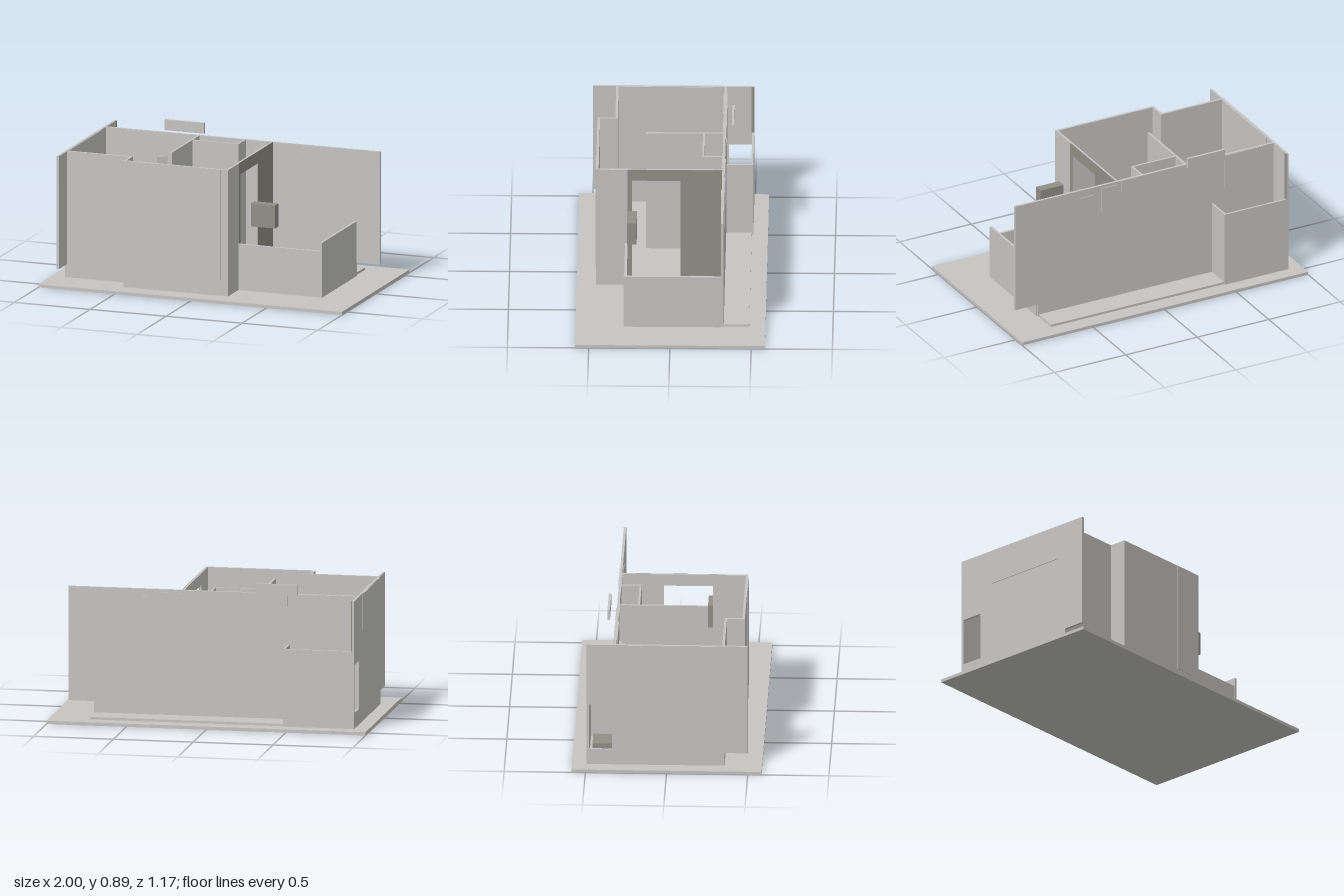
import * as THREE from 'three';

export function createModel() {
  const model = new THREE.Group();
  model.name = 'cutawayHouse';
  const paleGrey = new THREE.MeshStandardMaterial({ name: 'paleGrey', color: 0xc6c5c3 });
  const darkGrey = new THREE.MeshStandardMaterial({ name: 'darkGrey', color: 0x928f87 });

  // Box given by its extents on each axis
  function box(name, [x0, x1], [y0, y1], [z0, z1], material = paleGrey, parent = model) {
    const mesh = new THREE.Mesh(new THREE.BoxGeometry(x1 - x0, y1 - y0, z1 - z0), material);
    mesh.position.set((x0 + x1) / 2, (y0 + y1) / 2, (z0 + z1) / 2);
    mesh.name = name;
    parent.add(mesh);
    return mesh;
  }

  // Wall across x with a rectangular opening, made from an outline with a hole
  function wallWithOpening(name, [x0, x1], [y0, y1], [z0, z1], [hy0, hy1], [hz0, hz1], material = paleGrey) {
    const rect = (Type, a, b, c, d) => {
      const s = new Type();
      s.moveTo(-b, c);
      s.lineTo(-a, c);
      s.lineTo(-a, d);
      s.lineTo(-b, d);
      s.closePath();
      return s;
    };
    const shape = rect(THREE.Shape, z0, z1, y0, y1);
    shape.holes.push(rect(THREE.Path, hz0, hz1, hy0, hy1));
    const geometry = new THREE.ExtrudeGeometry(shape, { depth: x1 - x0, bevelEnabled: false });
    geometry.rotateY(Math.PI / 2);
    const mesh = new THREE.Mesh(geometry, material);
    mesh.position.x = x0;
    mesh.name = name;
    model.add(mesh);
  }

  const full = [0.02, 0.82];
  const raised = [0.105, 0.82];

  // Ground
  box('basePlate', [-1, 1], [0, 0.02], [-0.585, 0.585]);
  box('rearStep', [-0.465, 0.745], [0.02, 0.035], [-0.485, -0.328]);

  // Long rear wall, with its overhanging end
  box('rearWall', [-0.897, 0.75], full, [-0.328, -0.312]);
  box('rearWallEnd', [0.75, 0.91], raised, [-0.328, -0.312]);

  // Left side wall: rear room part, main part, overhanging front end
  box('sideWallUpper', [-0.912, -0.897], [0.505, 0.82], [-0.495, -0.328]);
  wallWithOpening('sideWallLower', [-0.912, -0.897], [0.02, 0.505], [-0.495, -0.328], [0.12, 0.42], [-0.48, -0.34]);
  box('sideWall', [-0.912, -0.897], full, [-0.328, 0.355]);
  box('sideWallEnd', [-0.912, -0.897], raised, [0.355, 0.497]);
  box('sideWallDarkStrip', [-0.897, -0.893], [0.505, 0.82], [-0.495, -0.477], darkGrey);

  // Stepped front wall
  box('frontWallLeft', [-0.897, -0.47], full, [0.34, 0.355]);
  box('frontWallReturn', [-0.485, -0.47], full, [0.355, 0.465]);
  box('frontWallRight', [-0.47, 0.203], full, [0.449, 0.465]);

  // Wall with the terrace doorway and its dark outer face
  box('terraceWallFront', [0.188, 0.203], full, [0.27, 0.449]);
  const doorY = [0.022, 0.745], doorZ = [-0.055, 0.245];
  wallWithOpening('terraceWall', [0.188, 0.2], full, [-0.312, 0.27], doorY, doorZ);
  wallWithOpening('terraceWallDarkFace', [0.2, 0.203], full, [-0.312, 0.27], doorY, doorZ, darkGrey);

  // Low rear room
  box('rearRoomBack', [-0.897, -0.465], [0.02, 0.505], [-0.495, -0.482]);
  box('rearRoomSide', [-0.478, -0.465], [0.02, 0.505], [-0.482, -0.328]);
  box('rearRoomBench', [-0.87, -0.72], [0.02, 0.14], [-0.46, -0.33], darkGrey);

  // Inner partitions
  box('partition', [-0.295, -0.28], full, [-0.312, 0.163]);
  box('closetFront', [-0.28, 0.025], full, [-0.2, -0.187]);
  box('closetSide', [0.012, 0.025], full, [-0.312, -0.2]);
  box('closetCabinet', [-0.278, 0.012], [0.02, 0.28], [-0.287, -0.2], darkGrey);
  box('counter', [-0.278, 0.012], [0.02, 0.27], [-0.187, -0.142], darkGrey);

  // Terrace
  box('terraceFrontWall', [0.203, 0.74], [0.02, 0.312], [0.27, 0.286]);
  box('terraceFrontWallInside', [0.13, 0.188], [0.02, 0.312], [0.27, 0.286]);
  box('terraceSideWall', [0.74, 0.755], [0.02, 0.367], [-0.312, 0.289]);
  box('wallCabinet', [0.28, 0.44], [0.427, 0.573], [0.212, 0.272], darkGrey);
  const bench = new THREE.Group();
  bench.name = 'terraceBench';
  model.add(bench);
  [-0.22, -0.183, -0.147].forEach((z) =>
    box('benchSlat', [0.28, 0.7], [0.105, 0.13], [z, z + 0.0365], darkGrey, bench));
  [0.3, 0.66].forEach((x) =>
    box('benchLeg', [x, x + 0.02], [0.02, 0.105], [-0.21, -0.12], darkGrey, bench));

  // Window panels, standing slightly proud of the walls on both sides
  const rearWindows = [
    [[0.365, 0.455], [0.55, 0.77]],
    [[0.05, 0.17], [0.74, 0.818]],
    [[-0.46, -0.325], [0.74, 0.818]],
    [[-0.82, -0.55], [0.6, 0.818]],
  ];
  rearWindows.forEach(([x, y]) => box('rearWindow', x, y, [-0.332, -0.308]));
  box('rearWindowOuter', [0.2, 0.31], [0.64, 0.8], [-0.332, -0.328]);
  box('frontWindow', [0.01, 0.157], [0.12, 0.818], [0.46, 0.469]);
  box('sideWindow', [-0.916, -0.893], [0.595, 0.818], [-0.24, 0.3]);

  // Sign board floating above the rear wall
  box('roofBoard', [-0.53, -0.27], [0.82, 0.887], [-0.38, -0.364]);

  // Wedge-shaped corner post by the rear wall
  const wedge = new THREE.Shape([[-0.545, 0.275], [-0.49, 0.312], [-0.545, 0.312]].map(([x, y]) => new THREE.Vector2(x, y)));
  const wedgeGeometry = new THREE.ExtrudeGeometry(wedge, { depth: 0.65, bevelEnabled: false });
  wedgeGeometry.rotateX(-Math.PI / 2);
  const post = new THREE.Mesh(wedgeGeometry, paleGrey);
  post.position.y = 0.02;
  post.name = 'cornerPost';
  model.add(post);

  // Chair
  const chair = new THREE.Group();
  chair.name = 'chair';
  model.add(chair);
  box('chairSeat', [-0.522, -0.44], [0.13, 0.145], [0.092, 0.165], paleGrey, chair);
  box('chairBack', [-0.448, -0.436], [0.145, 0.26], [0.09, 0.167], paleGrey, chair);
  for (const x of [-0.518, -0.452])
    for (const z of [0.095, 0.152])
      box('chairLeg', [x, x + 0.01], [0.02, 0.13], [z, z + 0.01], paleGrey, chair);

  return model;
}
